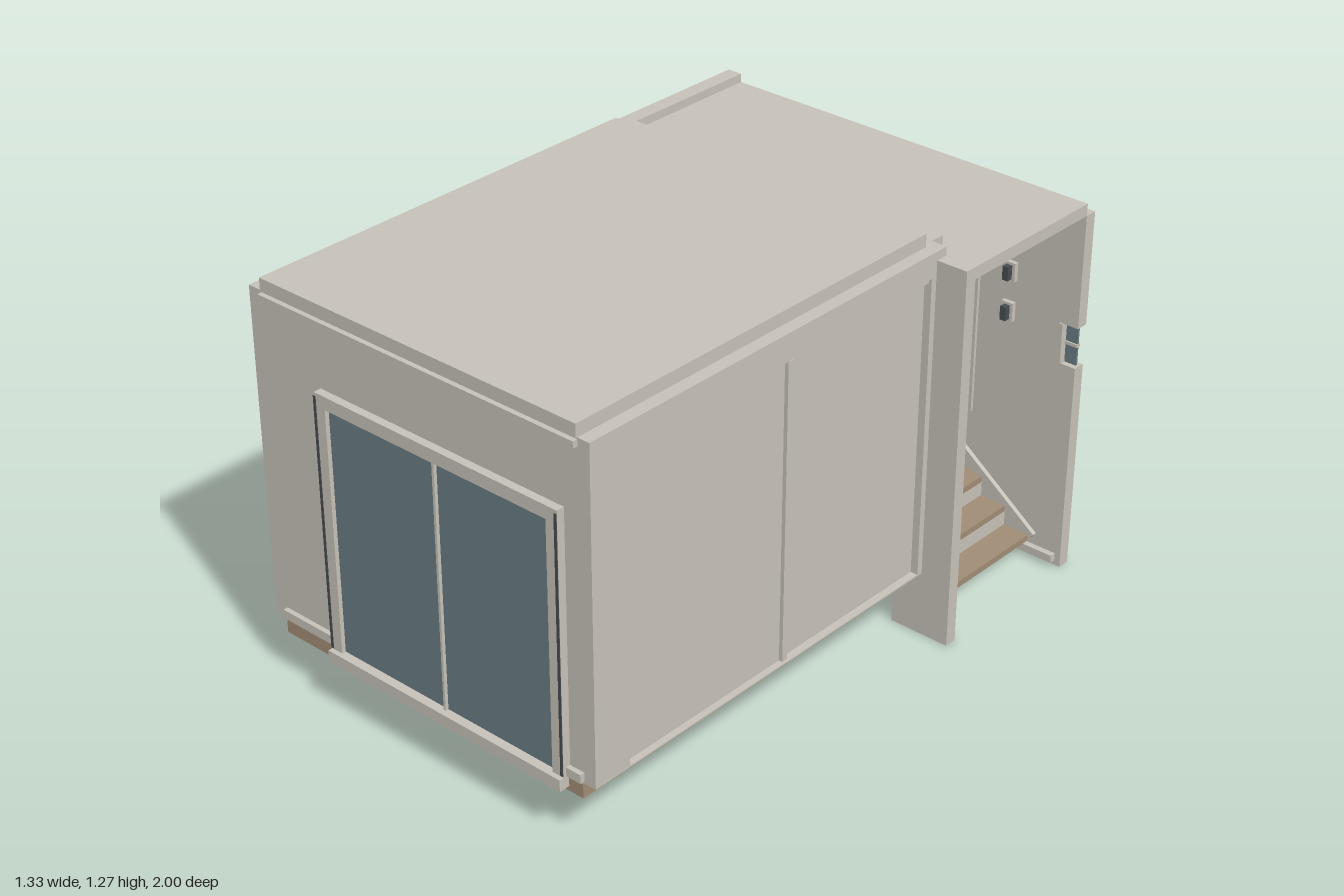
import * as THREE from 'three';

const mat = (name, color) => {
  const m = new THREE.MeshStandardMaterial({ color });
  m.name = name;
  return m;
};

export function createModel() {
  const plaster = mat('plaster', 0xc6c2b8);
  const glass = mat('glass', 0x697c82);
  const wood = mat('floorWood', 0xa18c75);
  const doorWood = mat('doorWood', 0x917453);
  const groove = mat('doorGroove', 0x5d4732);
  const metal = mat('darkMetal', 0x474c4e);
  const house = new THREE.Group();
  house.name = 'house';

  // Box given by its limits on each axis
  function box(name, m, x0, x1, y0, y1, z0, z1, parent = house) {
    const mesh = new THREE.Mesh(new THREE.BoxGeometry(x1 - x0, y1 - y0, z1 - z0), m);
    mesh.position.set((x0 + x1) / 2, (y0 + y1) / 2, (z0 + z1) / 2);
    mesh.name = name;
    parent.add(mesh);
    return mesh;
  }

  // Flat wall with rectangular holes, rectangles as [u0, u1, v0, v1]
  function wall(name, rect, holes, depth) {
    const trace = (p, [a, b, c, d]) => p.moveTo(a, c).lineTo(b, c).lineTo(b, d).lineTo(a, d).closePath();
    const shape = trace(new THREE.Shape(), rect);
    for (const h of holes) shape.holes.push(trace(new THREE.Path(), h));
    const mesh = new THREE.Mesh(new THREE.ExtrudeGeometry(shape, { depth, bevelEnabled: false }), plaster);
    mesh.name = name;
    house.add(mesh);
    return mesh;
  }

  // Picture-frame of four bars, facing z
  function frame(name, [a, b, c, d], t, z0, z1) {
    const g = new THREE.Group();
    g.name = name;
    box('leftBar', plaster, a, a + t, c, d, z0, z1, g);
    box('rightBar', plaster, b - t, b, c, d, z0, z1, g);
    box('bottomBar', plaster, a + t, b - t, c, c + t, z0, z1, g);
    box('topBar', plaster, a + t, b - t, d - t, d, z0, z1, g);
    house.add(g);
    return g;
  }

  // Front wall
  wall('frontWall', [-0.62, 0.52, 0.205, 1.235], [[-0.39, 0.45, 0.207, 1.0]], 0.04).position.z = 0.92;

  // Side walls; the turned shape uses z as its horizontal axis
  const doorSide = wall('doorWall', [-0.96, 0.96, 0.205, 1.235], [[-0.86, -0.5, 0.39, 1.16]], 0.05);
  doorSide.rotation.y = -Math.PI / 2;
  doorSide.position.x = -0.62;
  const panelSide = wall('panelWall', [-0.4, 0.96, 0.205, 1.235], [[-0.38, 0.83, 0.21, 1.16]], 0.04);
  panelSide.rotation.y = -Math.PI / 2;
  panelSide.position.x = 0.56;

  // Back wall with window openings
  const tall = [0.05, 0.31, 0.41, 1.07];
  const small = [-0.33, -0.14, 0.82, 1.01];
  wall('backWall', [-0.62, 0.6, 0, 1.17], [tall, small], 0.04).position.z = -1;
  box('backWallEndLower', plaster, 0.6, 0.66, 0, 0.68, -1, -0.96);
  box('backWallEndUpper', plaster, 0.6, 0.66, 0.81, 1.17, -1, -0.96);
  box('endWindowGlass', glass, 0.6, 0.65, 0.68, 0.81, -0.985, -0.978);
  box('endWindowPost', plaster, 0.597, 0.61, 0.68, 0.81, -1, -0.955);
  box('endWindowBar', plaster, 0.6, 0.652, 0.74, 0.75, -0.99, -0.973);
  box('backSkirting', plaster, -0.62, 0.64, 0.015, 0.04, -0.96, -0.94);

  // Back windows
  const backWindow = (name, r) => {
    frame(name + 'Frame', r, 0.015, -1, -0.95);
    box(name + 'Glass', glass, r[0], r[1], r[2], r[3], -0.98, -0.973);
  };
  backWindow('tallWindow', tall);
  box('tallWindowTransom', plaster, 0.06, 0.3, 0.92, 0.97, -0.995, -0.96);
  box('tallWindowRail', plaster, 0.06, 0.3, 0.665, 0.685, -0.99, -0.965);
  backWindow('smallWindow', small);
  box('smallWindowPost', plaster, -0.24, -0.23, 0.83, 1, -0.99, -0.965);
  box('smallWindowRail', plaster, -0.32, -0.15, 0.91, 0.92, -0.99, -0.965);

  // Roofs
  box('ceiling', plaster, -0.62, 0.52, 1.17, 1.235, -0.4, 0.92);
  box('mainRoof', plaster, -0.62, 0.52, 1.235, 1.275, -0.4, 0.965);
  box('frontCornice', plaster, -0.62, 0.52, 1.21, 1.23, 0.96, 0.975);
  box('rearRoof', plaster, -0.62, 0.66, 1.17, 1.208, -0.96, -0.4);
  box('roofRidge', plaster, -0.62, 0.51, 1.208, 1.235, -0.49, -0.4);
  box('ridgeEnd', plaster, 0.51, 0.56, 1.208, 1.235, -0.44, -0.4);

  // Floors
  box('mainFloor', wood, -0.62, 0.52, 0.16, 0.205, -0.4, 0.965);
  box('rearFloor', wood, -0.62, 0.36, 0.16, 0.204, -0.96, -0.4);

  // Front glazing, its frame and sill
  box('frontGlass', glass, -0.38, 0.44, 0.205, 0.985, 0.965, 0.972);
  const fz = 0.96, out = 0.985;
  box('frontFrameLeft', plaster, 0.43, 0.47, 0.21, 1.02, fz, out);
  box('frontFrameRight', plaster, -0.41, -0.37, 0.21, 1.02, fz, out);
  box('frontFrameTop', plaster, -0.37, 0.43, 0.98, 1.02, fz, out);
  box('frontMullion', plaster, 0.025, 0.033, 0.21, 0.985, fz, 0.982);
  box('frontSill', plaster, -0.41, 0.47, 0.175, 0.212, fz, 1.0);
  box('frontSkirtingRight', plaster, -0.62, -0.41, 0.212, 0.24, fz, 0.975);
  box('frontSkirtingLeft', plaster, 0.47, 0.52, 0.212, 0.24, fz, 0.975);
  for (const x of [-0.408, 0.464]) box('frontFrameSeal', metal, x - 0.004, x + 0.005, 0.215, 1.01, 0.98, 0.987);

  // Sliding side panels
  box('sidePanelFront', plaster, 0.525, 0.54, 0.21, 1.145, 0.2, 0.83);
  box('sidePanelRear', plaster, 0.525, 0.536, 0.21, 1.145, -0.38, 0.2);
  box('sidePanelPost', plaster, 0.53, 0.552, 0.21, 1.145, 0.19, 0.21);
  box('sidePanelHead', plaster, 0.525, 0.55, 1.143, 1.16, -0.38, 0.83);

  // Porch fin, posts and lintel
  box('porchFin', plaster, 0.46, 0.66, 0, 1.17, -0.44, -0.4);
  box('porchPost', plaster, 0.5, 0.56, 0.205, 1.17, -0.468, -0.44);
  box('porchLintel', plaster, 0.52, 0.56, 1.155, 1.17, -0.94, -0.468);

  // Entrance door with frame, inset panels and knob
  box('door', doorWood, -0.655, -0.63, 0.41, 1.13, -0.845, -0.52);
  for (const [z0, z1] of [[-0.865, -0.845], [-0.52, -0.5]])
    box('doorJamb', plaster, -0.672, -0.61, 0.41, 1.165, z0, z1);
  box('doorHead', plaster, -0.668, -0.612, 1.13, 1.165, -0.845, -0.52);
  box('doorSill', plaster, -0.672, -0.62, 0.385, 0.41, -0.865, -0.5);
  for (const [y0, y1] of [[0.47, 0.64], [0.7, 1.09]]) {
    for (const z of [-0.55, -0.81]) box('panelGrooveSide', groove, -0.631, -0.627, y0, y1, z - 0.003, z + 0.003);
    box('panelGrooveTop', groove, -0.631, -0.627, y1 - 0.006, y1, -0.81, -0.55);
  }
  const knob = new THREE.Mesh(new THREE.SphereGeometry(0.013, 12, 8), metal);
  knob.name = 'doorKnob';
  knob.position.set(-0.615, 0.785, -0.795);
  house.add(knob);

  // Entrance steps rising to the door landing
  const rise = 0.067, run = 0.09;
  for (let i = 0; i < 5; i++) {
    const x = 0.45 - i * run, top = 0.075 + i * rise;
    box('tread', wood, x, x + run + 0.01, top - 0.02, top, -0.945, -0.44);
    box('riser', i < 2 ? plaster : wood, x, x + 0.01, top, top + rise - 0.02, -0.945, -0.44);
  }
  box('landing', wood, -0.62, 0.1, 0.39, 0.41, -0.96, -0.44);

  // Sloping trim beside the steps
  const slope = Math.atan2(rise, run);
  const trim = box('stairTrim', plaster, 0, 0.6, 0, 0.03, -0.96, -0.945);
  trim.rotation.z = -slope;
  trim.position.set(0.32, 0.25, -0.95);

  // Wall lamps by the porch
  for (const y of [0.79, 0.92]) {
    box('lampPlate', plaster, 0.4, 0.44, y - 0.03, y + 0.03, -0.96, -0.945);
    box('lamp', metal, 0.41, 0.43, y - 0.022, y + 0.022, -0.945, -0.925);
  }
  return house;
}
